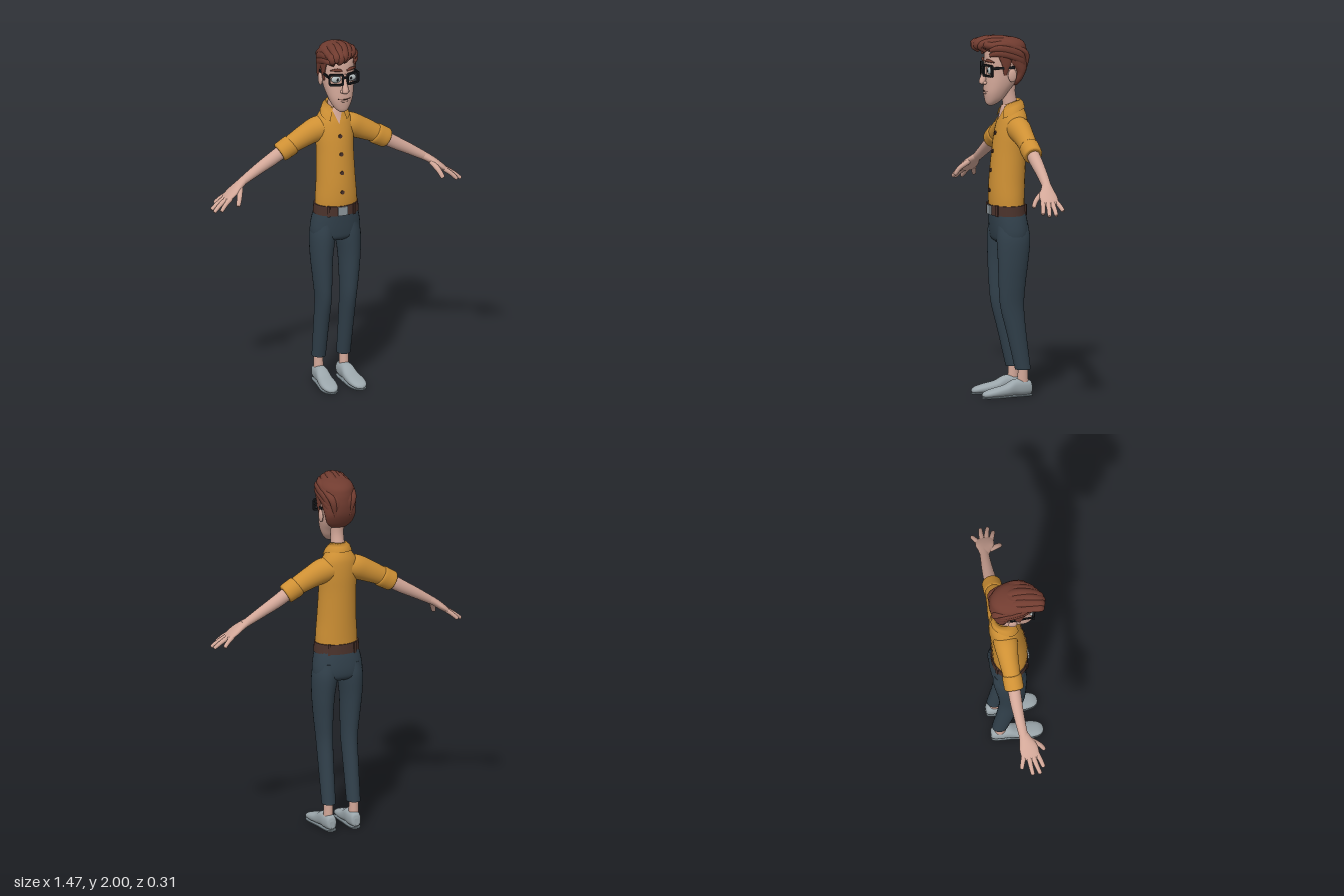
import * as THREE from 'three';

const mat = (name, color, extra = {}) => Object.assign(new THREE.MeshStandardMaterial({ color, ...extra }), { name });
const V = (x, y, z) => new THREE.Vector3(x, y, z);
const X = V(1, 0, 0), Y = V(0, 1, 0), Z = V(0, 0, 1);

// Smooth skin over elliptical rows [x, y, z, halfSide, halfOther]; dir fixes the ring normal, p squares the ring
function loft(rows, { side = X, dir = null, p = 2, seg = 28, sub = 5 } = {}) {
  const centre = new THREE.CatmullRomCurve3(rows.map(r => V(r[0], r[1], r[2])), false, 'catmullrom', 0.5);
  const size = new THREE.CatmullRomCurve3(rows.map(r => V(r[3], r[4], 0)), false, 'catmullrom', 0.5);
  const n = (rows.length - 1) * sub, pos = [], idx = [];
  const pw = v => Math.sign(v) * Math.pow(Math.abs(v), 2 / p);
  // rings always face along the path, whichever way the rows are listed
  const fixed = dir && dir.clone().multiplyScalar(Math.sign(centre.getPoint(1).sub(centre.getPoint(0)).dot(dir)));
  const ring = i => {
    const c = centre.getPoint(i / n), s = size.getPoint(i / n);
    const t = fixed || centre.getTangent(i / n);
    const u = side.clone().addScaledVector(t, -side.dot(t)).normalize();
    const w = t.clone().cross(u);
    for (let j = 0; j < seg; j++) {
      const a = (j / seg) * Math.PI * 2;
      const q = c.clone().addScaledVector(u, s.x * pw(Math.cos(a))).addScaledVector(w, s.y * pw(Math.sin(a)));
      pos.push(q.x, q.y, q.z);
    }
    return c;
  };
  for (let i = 0; i <= n; i++) ring(i);
  for (let i = 0; i < n; i++) for (let j = 0; j < seg; j++) {
    const a = i * seg + j, b = i * seg + (j + 1) % seg;
    idx.push(a, b, a + seg, b, b + seg, a + seg);
  }
  // end caps with their own vertices so the rims stay sharp
  for (const i of [0, n]) {
    const base = pos.length / 3, c = ring(i);
    pos.push(c.x, c.y, c.z);
    for (let j = 0; j < seg; j++) {
      const a = base + j, b = base + (j + 1) % seg;
      idx.push(base + seg, i ? a : b, i ? b : a);
    }
  }
  return surface(pos, idx);
}

function surface(pos, idx) {
  const g = new THREE.BufferGeometry();
  g.setAttribute('position', new THREE.Float32BufferAttribute(pos, 3));
  g.setIndex(idx);
  g.computeVertexNormals();
  return g;
}

// Row from height, front z, back z and half width
const level = (y, f, b, a, x = 0) => [x, y, (f + b) / 2, a, (f - b) / 2];

function roundedRect(path, w, h, r) {
  path.moveTo(-w + r, -h).lineTo(w - r, -h).quadraticCurveTo(w, -h, w, -h + r);
  path.lineTo(w, h - r).quadraticCurveTo(w, h, w - r, h).lineTo(-w + r, h);
  path.quadraticCurveTo(-w, h, -w, h - r).lineTo(-w, -h + r).quadraticCurveTo(-w, -h, -w + r, -h);
  return path;
}

export function createModel() {
  const root = new THREE.Group();
  root.name = 'man';
  const M = {
    shirt: mat('shirt ochre', 0xce9034, { side: THREE.DoubleSide }), skin: mat('skin', 0xd2a798, { side: THREE.DoubleSide }),
    pants: mat('trouser blue', 0x31404b), hair: mat('hair brown', 0x713c30), shoe: mat('shoe grey', 0x9ba6ab),
    sole: mat('sole grey', 0x78848a), belt: mat('belt brown', 0x4a322b), metal: mat('buckle grey', 0x8d969b),
    black: mat('frame black', 0x17181b), eye: mat('eye grey', 0xb4bdbe),
  };
  const add = (name, geo, m, x = 0, y = 0, z = 0, parent = root) => {
    const mesh = new THREE.Mesh(geo, m);
    mesh.name = name;
    mesh.position.set(x, y, z);
    parent.add(mesh);
    return mesh;
  };
  const ball = (name, m, p, s) => add(name, new THREE.SphereGeometry(1, 20, 14), m, ...p).scale.set(...s);
  const box = (name, m, p, s) => add(name, new THREE.BoxGeometry(...s), m, ...p);
  const flat = { dir: Y };

  // Shirt body
  const torso = [level(1.03, .058, -.13, .119), level(1.1, .063, -.132, .117), level(1.2, .06, -.136, .11),
    level(1.35, .045, -.143, .105), level(1.45, .03, -.149, .108), level(1.52, .012, -.149, .104),
    level(1.56, -.002, -.143, .083), level(1.6, -.012, -.125, .052), level(1.62, -.02, -.112, .04)];
  add('shirtBody', loft(torso, flat), M.shirt);
  const torsoAt = y => {
    let i = 0;
    while (i < torso.length - 2 && torso[i + 1][1] < y) i++;
    const t = (y - torso[i][1]) / (torso[i + 1][1] - torso[i][1]);
    return torso[i].map((v, k) => THREE.MathUtils.lerp(v, torso[i + 1][k], t));
  };
  const frontZ = (x, y) => { const r = torsoAt(y); return r[2] + r[4] * Math.sqrt(Math.max(0, 1 - (x / r[3]) ** 2)); };
  for (const y of [1.455, 1.355, 1.25, 1.14]) {
    add('shirtButton', new THREE.CylinderGeometry(.011, .011, .008, 14).rotateX(Math.PI / 2), M.belt, 0, y, frontZ(0, y) + .001);
  }

  // Open neckline: a skin wedge lying on the chest
  const vp = [], vi = [], N = 8;
  for (let i = 0; i <= N; i++) for (let j = 0; j <= N; j++) {
    const y = 1.52 + .09 * i / N, x = .034 * (i / N) * (2 * j / N - 1);
    vp.push(x, y, frontZ(x, y) + .005);
    if (i < N && j < N) { const a = i * (N + 1) + j; vi.push(a, a + 1, a + N + 1, a + 1, a + N + 2, a + N + 1); }
  }
  add('openNeckline', surface(vp, vi), M.skin);

  // Folded collar running round the neck to two points in front
  const cp = [], ci = [], K = 36, L = 3;
  for (let i = 0; i <= K; i++) {
    const th = .5 + (Math.PI * 2 - 1) * i / K, f = ((1 + Math.cos(th)) / 2) ** 2;
    const yb = THREE.MathUtils.lerp(1.59, 1.533, f), r = torsoAt(yb), s = Math.sin(th), c = Math.cos(th);
    const top = V(.043 * s, 1.638 - .032 * f, -.064 + .05 * c);
    const low = V((r[3] + .008) * s, yb, r[2] + (r[4] + .01) * c);
    const mid = top.clone().lerp(low, .5).add(V(.005 * s, .005, .005 * c));
    for (const q of [top.clone().add(V(0, -.04, 0)), top, mid, low]) cp.push(q.x, q.y, q.z);
    if (i < K) for (let j = 0; j < L; j++) {
      const a = i * (L + 1) + j, b = a + L + 1;
      ci.push(a, b, a + 1, b, b + 1, a + 1);
    }
  }
  add('collar', surface(cp, ci), M.shirt);

  // Belt, buckle and loops
  add('belt', loft([level(1.005, .065, -.139, .129), level(1.06, .064, -.136, .125)], { dir: Y, sub: 1, seg: 40 }), M.belt);
  box('buckle', M.metal, [0, 1.032, .064], [.056, .05, .012]);
  for (const x of [-.075, .075]) for (const s of [1, -1]) {
    box('beltLoop', M.belt, [x, 1.032, -.036 + s * .084], [.014, .062, .01]).rotation.y = x * s * 7;
  }

  // Hips
  add('trouserSeat', loft([level(1.03, .058, -.13, .118), level(.97, .055, -.142, .133), level(.91, .05, -.147, .141),
    level(.87, .042, -.14, .134), level(.85, .02, -.115, .1)], { dir: Y, p: 2.3 }), M.pants);

  for (const s of [1, -1]) {
    const side = s > 0 ? 'left' : 'right';
    const m = rows => rows.map(([x, ...r]) => [x * s, ...r]);

    // Leg, ankle, shoe
    add(side + 'TrouserLeg', loft([level(.95, .042, -.135, .06, s * .066), level(.87, .046, -.143, .069, s * .074),
      level(.75, .042, -.13, .06, s * .081), level(.62, .037, -.115, .051, s * .078), level(.5, .026, -.109, .044, s * .073),
      level(.35, -.012, -.122, .041, s * .073), level(.15, -.06, -.148, .038, s * .073)], flat), M.pants);
    add(side + 'Ankle', loft([level(.05, -.07, -.135, .027, s * .075), level(.18, -.078, -.13, .025, s * .075)], flat), M.skin);
    const shoe = m([[.072, .04, -.155, .014, .02], [.072, .048, -.145, .028, .037], [.073, .051, -.1, .036, .044], [.075, .052, -.05, .038, .043],
      [.078, .038, 0, .043, .031], [.082, .031, .06, .047, .024], [.084, .025, .105, .04, .018], [.084, .02, .128, .024, .011], [.084, .017, .135, .008, .005]]);
    add(side + 'Shoe', loft(shoe, { dir: Z, p: 2.4 }), M.shoe);
    add(side + 'Sole', loft(shoe.map(([x, , z, a]) => [x, .005, z, a, .005]), { dir: Z, p: 4 }), M.sole);

    // Sleeve, rolled cuff, forearm
    const arm = { side: Z };
    add(side + 'Sleeve', loft(m([[.02, 1.49, -.072, .066, .056], [.09, 1.48, -.074, .066, .069], [.16, 1.452, -.075, .056, .062], [.26, 1.403, -.073, .047, .05]]), arm), M.shirt);
    add(side + 'RolledCuff', loft(m([[.242, 1.411, -.073, .047, .05], [.25, 1.406, -.073, .054, .058], [.28, 1.389, -.073, .054, .057],
      [.31, 1.372, -.073, .053, .055], [.317, 1.368, -.073, .046, .047]]), { side: Z, sub: 3 }), M.shirt);
    add(side + 'Forearm', loft(m([[.28, 1.388, -.073, .036, .038], [.36, 1.338, -.075, .034, .036], [.45, 1.287, -.073, .029, .03], [.56, 1.222, -.066, .024, .021]]), arm), M.skin);

    // Hand with four fingers and a thumb
    add(side + 'Palm', loft(m([[.53, 1.24, -.068, .025, .022], [.565, 1.218, -.06, .036, .021], [.6, 1.192, -.052, .05, .02],
      [.635, 1.165, -.048, .05, .016], [.655, 1.149, -.048, .04, .009]]), arm), M.skin);
    const fingers = [[[.63, 1.165, -.012], [.665, 1.14, .002], [.694, 1.11, .013]], [[.64, 1.162, -.035], [.688, 1.132, -.024], [.725, 1.102, -.012]],
      [[.64, 1.162, -.058], [.688, 1.132, -.056], [.725, 1.104, -.052]], [[.63, 1.166, -.082], [.66, 1.145, -.095], [.686, 1.12, -.106]],
      [[.565, 1.21, -.035], [.588, 1.172, .012], [.604, 1.136, .034]]];
    fingers.forEach(([a, b, c], i) => {
      const k = i === 4 ? 1.2 : 1.08, tip = c.map((v, j) => v + (c[j] - b[j]) * .1);
      add(side + (i === 4 ? 'Thumb' : 'Finger'), loft(m([[...a, .014 * k, .012 * k], [...b, .012 * k, .011 * k], [...c, .01 * k, .009 * k], [...tip, .003, .003]]),
        { side: i === 4 ? X : Z, seg: 12 }), M.skin);
    });

    // Ear, eye, brow, sideburn
    ball(side + 'Ear', M.skin, [s * .091, 1.782, -.036], [.011, .037, .025]);
    ball(side + 'Eye', M.eye, [s * .043, 1.808, .076], [.03, .02, .015]);
    ball(side + 'Pupil', M.black, [s * .04, 1.808, .089], [.007, .008, .004]);
    add(side + 'Eyebrow', loft(m([[.014, 1.856, .092, .005, .004], [.04, 1.864, .088, .009, .007], [.076, 1.857, .066, .004, .004]]), { side: Y, seg: 10 }), M.hair);
    add(side + 'Sideburn', loft(m([[.088, 1.89, .005, .01, .04], [.088, 1.84, -.002, .009, .025], [.084, 1.785, .003, .006, .008]]), { dir: Y, seg: 14 }), M.hair);

    // Spectacle rim and temple
    const rim = roundedRect(new THREE.Shape(), .042, .034, .014);
    rim.holes.push(roundedRect(new THREE.Path(), .032, .024, .01));
    const rimMesh = add(side + 'Rim', new THREE.ExtrudeGeometry(rim, { depth: .012, bevelEnabled: false, curveSegments: 5 }), M.black, s * .047, 1.809, .086);
    rimMesh.rotation.y = s * .32;
    box(side + 'Temple', M.black, [s * .09, 1.826, .015], [.007, .014, .13]);
  }
  box('spectacleBridge', M.black, [0, 1.82, .103], [.026, .011, .012]);

  // Neck, head, nose and mouth
  add('neck', loft([[0, 1.56, -.066, .042, .045], [0, 1.62, -.055, .038, .041], [0, 1.68, -.047, .036, .038], [0, 1.75, -.045, .04, .045]], flat), M.skin);
  add('head', loft([level(1.61, .07, .045, .014), level(1.622, .083, .02, .032), level(1.65, .09, -.015, .052), level(1.69, .094, -.045, .068),
    level(1.74, .091, -.085, .08), level(1.8, .086, -.115, .087), level(1.87, .089, -.125, .089), level(1.93, .078, -.12, .083),
    level(1.96, .04, -.09, .05)], { dir: Y, p: 2.25, seg: 36 }), M.skin);
  add('nose', loft([[0, 1.835, .084, .01, .008], [0, 1.79, .094, .012, .014], [0, 1.755, .103, .017, .019], [0, 1.737, .106, .018, .017], [0, 1.727, .1, .01, .01]], flat), M.skin);
  for (const s of [1, -1]) ball('nostril', M.skin, [s * .016, 1.738, .096], [.01, .009, .012]);
  add('mouth', loft([[-.036, 1.693, .085, .002, .003], [-.018, 1.691, .0915, .0025, .004], [0, 1.69, .094, .0025, .004],
    [.018, 1.691, .0915, .0025, .004], [.036, 1.693, .085, .002, .003]], { side: Y, seg: 8 }), M.belt);
  ball('lowerLip', M.skin, [0, 1.68, .088], [.024, .007, .009]);

  // Hair mass, then locks swept back from a quiff over the right brow
  add('hairMass', loft([level(1.72, -.055, -.09, .045), level(1.75, -.05, -.115, .074), level(1.8, -.045, -.14, .089), level(1.85, .02, -.15, .095),
    level(1.89, .06, -.15, .098), level(1.92, .09, -.146, .098), level(1.95, .095, -.135, .093), level(1.972, .075, -.105, .072),
    level(1.986, .03, -.05, .035)], { dir: Y, p: 2, seg: 36 }), M.hair);
  for (let i = 0; i < 6; i++) {
    const s = i / 2.5 - 1, x = .07 * s, drop = .026 * s * s, lift = i % 2 * .005;
    const sweep = .03 * Math.max(0, s) + .012 * s * s;
    add('hairLock', loft([[x * .7 - .03, 1.908 + lift * 2, .112 - sweep, .012, .01], [x * .72 - .032, 1.942 + lift, .136 - sweep, .025, .022],
      [x * .9 - .014, 1.972 - drop, .085 - sweep * .5, .026, .021], [x, 1.973 - drop + lift, .0, .026, .02],
      [x * .95, 1.948 - drop, -.085, .024, .018], [x * .8, 1.885, -.13, .022, .017], [x * .6, 1.8, -.128, .008, .008]], { side: X, seg: 14 }), M.hair);
  }
  for (const s of [1, -1]) for (const y of [1.895, 1.922]) {
    add('sideLock', loft([[s * .06, y, .085, .01, .008], [s * .086, y + .012, .045, .018, .011], [s * .094, y, -.02, .02, .011],
      [s * .08, y - .035, -.095, .02, .012], [s * .045, y - .1, -.125, .007, .007]], { side: Y, seg: 12 }), M.hair);
  }
  return root;
}
